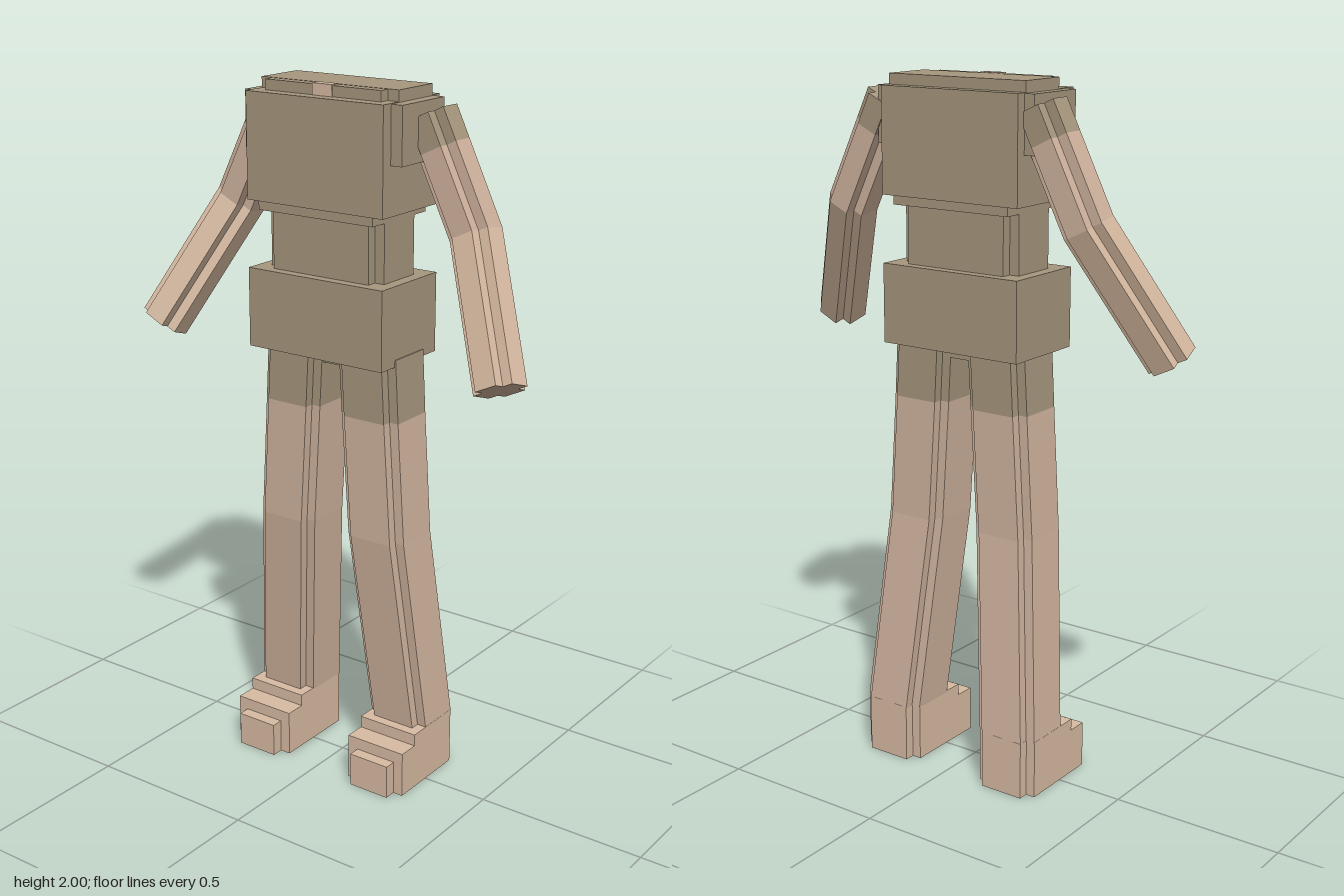
import * as THREE from 'three';

const mat = (name, color) => {
  const m = new THREE.MeshStandardMaterial({ color });
  m.name = name;
  return m;
};

// Rectangle with square-notched corners, in half-width units
function notched(w, d, n) {
  const a = w / 2, b = d / 2;
  return [
    [a, -b + n], [a, b - n], [a - n, b - n], [a - n, b], [-a + n, b], [-a + n, b - n],
    [-a, b - n], [-a, -b + n], [-a + n, -b + n], [-a + n, -b], [a - n, -b], [a - n, -b + n],
  ];
}

// Closed loft between rings of points; caps fan from the ring centres
function loft(rings, mirror) {
  const pos = [];
  const tri = (a, b, c) => {
    for (const p of mirror ? [a, c, b] : [a, b, c]) pos.push(mirror ? -p.x : p.x, p.y, p.z);
  };
  const n = rings[0].pts.length;
  rings.forEach((r, k) => {
    for (let i = 0; i < n; i++) {
      const j = (i + 1) % n;
      if (k === 0) tri(r.c, r.pts[j], r.pts[i]);
      if (k === rings.length - 1) tri(r.c, r.pts[i], r.pts[j]);
      else {
        const q = rings[k + 1];
        tri(r.pts[i], r.pts[j], q.pts[j]);
        tri(r.pts[i], q.pts[j], q.pts[i]);
      }
    }
  });
  const g = new THREE.BufferGeometry();
  g.setAttribute('position', new THREE.Float32BufferAttribute(pos, 3));
  g.computeVertexNormals();
  return g;
}

// Section placed at c, spanned by u and v; u x v points along the limb
const ring = (c, u, v, shape) => ({
  c,
  pts: shape.map(([a, b]) => c.clone().addScaledVector(u, a).addScaledVector(v, b)),
});

export function createModel() {
  const model = new THREE.Group();
  model.name = 'figure';
  const brown = mat('brown cloth', 0xa8987f);
  const skin = mat('skin', 0xd2b59f);
  const paleSkin = mat('pale skin', 0xdabda4);
  const V = (x, y, z) => new THREE.Vector3(x, y, z);

  const add = (parent, name, geo, material) => {
    const m = new THREE.Mesh(geo, material);
    m.name = name;
    parent.add(m);
  };
  const box = (parent, name, material, x0, x1, y0, y1, z0, z1) => {
    const g = new THREE.BoxGeometry(x1 - x0, y1 - y0, z1 - z0);
    g.translate((x0 + x1) / 2, (y0 + y1) / 2, (z0 + z1) / 2);
    add(parent, name, g, material);
  };

  // Torso
  const torso = new THREE.Group();
  torso.name = 'torso';
  model.add(torso);
  box(torso, 'collar', brown, -0.235, 0.215, 1.96, 2.0, -0.105, 0.05);
  box(torso, 'collarFront', brown, -0.2, 0.18, 1.96, 1.999, -0.1, 0.08);
  box(torso, 'neckSkin', paleSkin, -0.04, 0.025, 1.97, 2.002, 0.053, 0.083);
  box(torso, 'chest', brown, -0.235, 0.215, 1.675, 1.97, -0.14, 0.12);
  box(torso, 'shoulders', brown, -0.265, 0.25, 1.81, 1.968, -0.11, 0.085);
  box(torso, 'chestHem', brown, -0.2, 0.18, 1.65, 1.68, -0.135, 0.115);
  box(torso, 'waist', brown, -0.17, 0.15, 1.47, 1.66, -0.11, 0.09);
  box(torso, 'waistSides', brown, -0.2, 0.18, 1.47, 1.66, -0.08, 0.06);
  box(torso, 'hips', brown, -0.235, 0.215, 1.26, 1.485, -0.14, 0.12);
  box(torso, 'crotch', brown, -0.045, 0.045, 1.23, 1.27, -0.08, 0.05);

  const legShape = notched(0.19, 0.19, 0.028);
  const armShape = notched(0.127, 0.125, 0.03);

  for (const mirror of [false, true]) {
    const side = mirror ? 'left' : 'right';
    const s = mirror ? -1 : 1;

    // Leg: trouser hem, thigh and shin, with level sections
    const leg = new THREE.Group();
    leg.name = side + 'Leg';
    model.add(leg);
    const legRing = (x, y, z) => ring(V(x, y, z), V(1, 0, 0), V(0, 0, 1), legShape);
    const r = [
      legRing(-0.123, 1.28, -0.01), legRing(-0.133, 1.1, -0.01),
      legRing(-0.155, 0.747, -0.012), legRing(-0.205, 0.165, -0.065),
    ];
    add(leg, 'shorts', loft([r[0], r[1]], mirror), brown);
    add(leg, 'thigh', loft([r[1], r[2]], mirror), skin);
    add(leg, 'shin', loft([r[2], r[3]], mirror), skin);

    // Stepped foot
    const foot = (name, x0, x1, y1, z0, z1) =>
      box(leg, name, paleSkin, Math.min(s * x0, s * x1), Math.max(s * x0, s * x1), 0, y1, z0, z1);
    foot('ankle', -0.3, -0.11, 0.17, -0.13, 0.06);
    foot('heel', -0.272, -0.138, 0.169, -0.16, -0.12);
    foot('instep', -0.3, -0.11, 0.135, 0.05, 0.122);
    foot('toes', -0.27, -0.142, 0.1, 0.11, 0.157);

    // Arm: sleeve, upper arm, forearm and hand, mitred at the elbow
    const arm = new THREE.Group();
    arm.name = side + 'Arm';
    model.add(arm);
    const shoulder = V(-0.248, 1.93, -0.052);
    const elbow = V(-0.396, 1.63, -0.048);
    const hand = V(-0.572, 1.272, 0.1);
    const u = V(0.9, -0.436, 0).normalize();
    const d1 = elbow.clone().sub(shoulder).normalize();
    const d2 = hand.clone().sub(elbow).normalize();
    const across = (d) => d.clone().cross(u).normalize();
    const v1 = across(d1), v2 = across(d2);
    const vm = v1.clone().add(v2).normalize();
    vm.divideScalar(vm.dot(v1));
    const at = (p, v) => ring(p, u, v, armShape);
    const a = [
      at(shoulder, v1), at(shoulder.clone().lerp(elbow, 0.28), v1), at(elbow, vm),
      at(elbow.clone().lerp(hand, 0.62), v2), at(hand, v2),
    ];
    const bands = [['sleeve', brown], ['upperArm', skin], ['forearm', paleSkin], ['hand', paleSkin]];
    bands.forEach(([name, m], i) => add(arm, name, loft([a[i], a[i + 1]], mirror), m));
  }

  // Lofted limbs run downwards, so u x v must follow the path
  return model;
}
